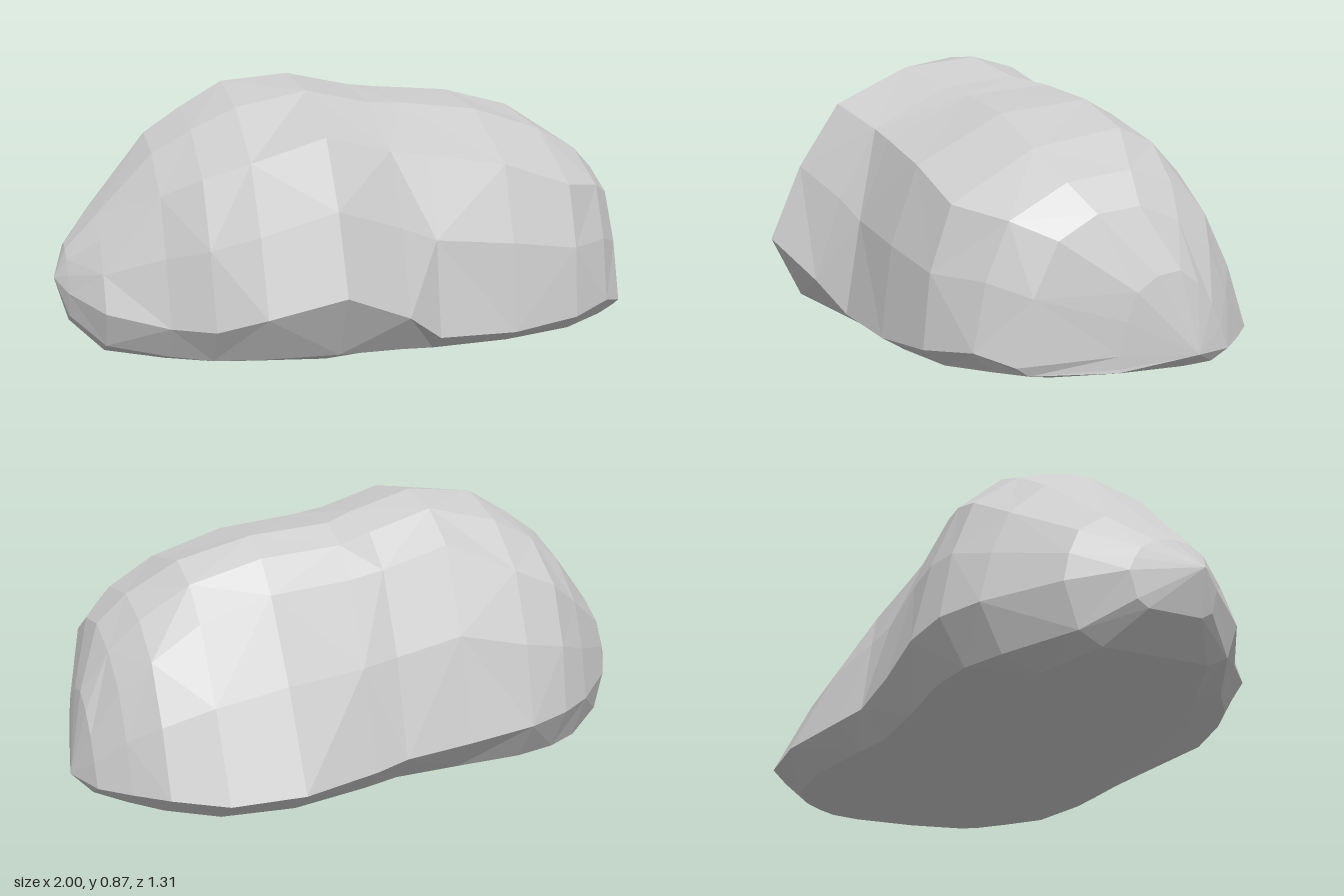
import * as THREE from 'three';

// Cross-sections from left to right:
// x, then z and y of the back edge, back shoulder, crest, front shoulder, front edge
const SECTIONS = [
  [-0.96, -0.14, 0.23, -0.1, 0.31, 0, 0.36, 0.1, 0.33, 0.14, 0.23],
  [-0.86, -0.29, 0.21, -0.24, 0.38, -0.05, 0.48, 0.16, 0.4, 0.27, 0.19],
  [-0.68, -0.46, 0.19, -0.37, 0.5, -0.1, 0.69, 0.23, 0.54, 0.38, 0.16],
  [-0.56, -0.53, 0.18, -0.43, 0.58, -0.1, 0.77, 0.3, 0.6, 0.49, 0.17],
  [-0.42, -0.56, 0.16, -0.42, 0.64, -0.1, 0.85, 0.35, 0.65, 0.57, 0.22],
  [-0.2, -0.55, 0.13, -0.36, 0.73, -0.09, 0.87, 0.41, 0.73, 0.65, 0.29],
  [0.02, -0.55, 0.11, -0.36, 0.67, -0.13, 0.82, 0.36, 0.67, 0.57, 0.19],
  [0.14, -0.59, 0.1, -0.37, 0.65, -0.2, 0.8, 0.36, 0.65, 0.51, 0.1],
  [0.4, -0.66, 0.09, -0.38, 0.63, -0.2, 0.78, 0.37, 0.61, 0.49, 0.09],
  [0.63, -0.65, 0.09, -0.4, 0.57, -0.19, 0.72, 0.36, 0.53, 0.45, 0.11],
  [0.78, -0.56, 0.1, -0.4, 0.47, -0.14, 0.62, 0.25, 0.5, 0.36, 0.13],
  [0.87, -0.47, 0.1, -0.36, 0.38, -0.12, 0.53, 0.14, 0.45, 0.27, 0.1],
  [0.95, -0.38, 0.1, -0.32, 0.24, -0.21, 0.35, -0.07, 0.3, -0.02, 0.12],
];
const LEFT_TIP = new THREE.Vector3(-1, 0.27, 0.08);
const RIGHT_TIP = new THREE.Vector3(1, 0.11, -0.25);

// Underside height: nearly flat, tilted slightly and rising towards both tips
const baseY = (x, z) =>
  0.015 + 0.03 * z + (x < 0 ? 0.2 * Math.pow(-x, 14) : 0.07 * Math.pow(x, 4));

// One closed ring: rounded flanks above the edges, sharp undercut below them
function ring([x, ...zy]) {
  const point = (z, y) => new THREE.Vector3(x, y, z);
  const controls = [];
  for (let i = 0; i < zy.length; i += 2) controls.push(point(zy[i], zy[i + 1]));
  const flanks = new THREE.CatmullRomCurve3(controls).getPoints(8);

  const undercut = (edge) => {
    const y = baseY(x, edge.z);
    return [
      point(edge.z * 0.85, THREE.MathUtils.lerp(y, edge.y, 0.22)),
      point(edge.z * 0.6, baseY(x, edge.z * 0.6)),
    ];
  };
  return [...undercut(controls[0]).reverse(), ...flanks, ...undercut(controls[4])];
}

function rockGeometry() {
  const rings = SECTIONS.map(ring);
  const n = rings[0].length;
  const index = [];
  for (let i = 0; i < rings.length - 1; i++) {
    for (let j = 0; j < n; j++) {
      const a = i * n + j;
      const b = i * n + ((j + 1) % n);
      const c = a + n;
      const d = b + n;
      // alternate the diagonals for irregular facets
      if ((i + j) % 2) index.push(a, b, c, b, d, c);
      else index.push(a, b, d, a, d, c);
    }
  }
  // fan both ends to their tips
  const last = (rings.length - 1) * n;
  const left = rings.length * n;
  for (let j = 0; j < n; j++) {
    const k = (j + 1) % n;
    index.push(left, k, j);
    index.push(left + 1, last + j, last + k);
  }
  const points = [...rings.flat(), LEFT_TIP, RIGHT_TIP];
  const geometry = new THREE.BufferGeometry().setFromPoints(points);
  geometry.setIndex(index);
  const faceted = geometry.toNonIndexed();
  faceted.computeVertexNormals();
  return faceted;
}

export function createModel() {
  const group = new THREE.Group();
  group.name = 'rock';
  const material = new THREE.MeshStandardMaterial({ color: 0xcccccc, flatShading: true });
  const boulder = new THREE.Mesh(rockGeometry(), material);
  boulder.name = 'boulder';
  group.add(boulder);
  return group;
}
